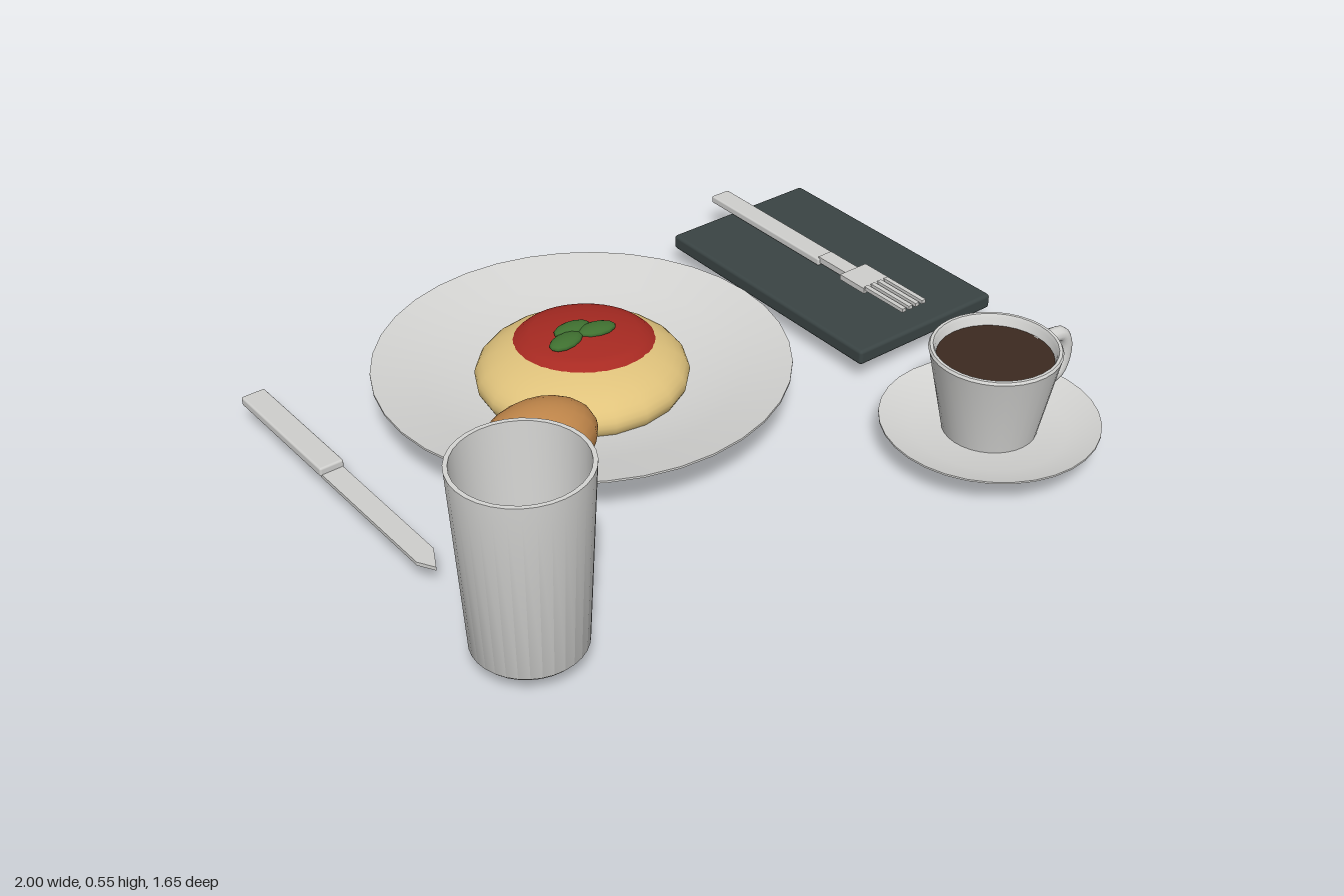
import * as THREE from 'three';
import { toCreasedNormals } from 'three/addons/utils/BufferGeometryUtils.js';
import { RoundedBoxGeometry } from 'three/addons/geometries/RoundedBoxGeometry.js';

const material = (name, color) => {
  const m = new THREE.MeshStandardMaterial({ color });
  m.name = name;
  return m;
};

export function createModel() {
  const ceramic = material('ceramic', 0xd4d4d2);
  const metal = material('metal', 0xcfcfcd);
  const pastaYellow = material('pastaYellow', 0xe0c37c);
  const sauceRed = material('sauceRed', 0xa82a22);
  const crust = material('crust', 0xc0864a);
  const leafGreen = material('leafGreen', 0x3f7030);
  const coffeeBrown = material('coffeeBrown', 0x3c2a20);
  const cloth = material('cloth', 0x3a4444);

  const model = new THREE.Group();
  model.name = 'tableSetting';

  const add = (parent, name, geometry, mat, x = 0, y = 0, z = 0) => {
    const mesh = new THREE.Mesh(geometry, mat);
    mesh.name = name;
    mesh.position.set(x, y, z);
    parent.add(mesh);
    return mesh;
  };
  const group = (name, x = 0, z = 0) => {
    const g = new THREE.Group();
    g.name = name;
    g.position.set(x, 0, z);
    model.add(g);
    return g;
  };
  // Closed profile of [radius, height], from the base out, up and back inside
  const turned = (profile, sides = 32) => toCreasedNormals(
    new THREE.LatheGeometry(profile.map(([r, y]) => new THREE.Vector2(r, y)), sides), 0.7);
  const ellipsoid = (rx, ry, rz, w = 20, h = 14) =>
    new THREE.SphereGeometry(1, w, h).scale(rx, ry, rz);

  // Dinner plate with food
  const dinner = group('dinner', -0.135, -0.275);
  add(dinner, 'plate', turned([
    [0, 0.07], [0.28, 0.07], [0.42, 0.103], [0.555, 0.138],
    [0.555, 0.144], [0.42, 0.111], [0.28, 0.078], [0, 0.078],
  ], 36), ceramic);
  const pasta = { r: 0.285, h: 0.103, y: 0.103 };
  add(dinner, 'pasta', ellipsoid(pasta.r, pasta.h, pasta.r, 20, 24), pastaYellow, 0, pasta.y, 0);

  // Sauce is a disc draped over the pasta mound
  const sauce = new THREE.RingGeometry(0, 0.195, 40, 8).rotateX(-Math.PI / 2).translate(0.03, 0, -0.03);
  const p = sauce.attributes.position;
  for (let i = 0; i < p.count; i++) {
    const r = Math.hypot(p.getX(i), p.getZ(i));
    const rim = Math.hypot(p.getX(i) - 0.03, p.getZ(i) + 0.03) > 0.19;
    p.setY(i, pasta.y + pasta.h * Math.sqrt(1 - (r / pasta.r) ** 2) + (rim ? -0.004 : 0.009));
  }
  sauce.computeVertexNormals();
  add(dinner, 'sauce', sauce, sauceRed);

  // Basil sprig
  for (const [x, z, turn] of [[-0.052, 0.004, 0.2], [0.046, 0.004, -0.2], [-0.005, -0.035, 0]]) {
    const leaf = add(dinner, 'basilLeaf', ellipsoid(0.055, 0.014, 0.032, 12, 8), leafGreen, x, 0.217, z);
    leaf.rotation.y = turn;
  }
  add(dinner, 'breadRoll', ellipsoid(0.163, 0.098, 0.118, 18, 14), crust, -0.313, 0.153, 0.25);

  // Drinking glass
  const glass = group('glass', -0.835, 0.49);
  add(glass, 'tumbler', turned([
    [0, 0.055], [0.128, 0.055], [0.138, 0.066], [0.165, 0.55],
    [0.154, 0.55], [0.13, 0.075], [0, 0.075],
  ]), ceramic);

  // Coffee cup and saucer
  const coffee = group('coffee', 0.567, 0.535);
  add(coffee, 'saucer', turned([
    [0, 0.055], [0.205, 0.055], [0.285, 0.088],
    [0.285, 0.093], [0.2, 0.066], [0, 0.066],
  ]), ceramic);
  add(coffee, 'cup', turned([
    [0, 0.062], [0.122, 0.062], [0.168, 0.294], [0.17, 0.3], [0.166, 0.307],
    [0.158, 0.307], [0.153, 0.298], [0.115, 0.08], [0, 0.08],
  ]), ceramic);
  add(coffee, 'coffeeSurface', new THREE.CircleGeometry(0.151, 32).rotateX(-Math.PI / 2), coffeeBrown, 0, 0.277, 0);
  const handlePath = new THREE.CatmullRomCurve3([
    [0.145, 0.257], [0.2, 0.258], [0.242, 0.25], [0.259, 0.222],
    [0.257, 0.17], [0.238, 0.138], [0.2, 0.13], [0.125, 0.13],
  ].map(([x, y]) => new THREE.Vector3(x, y, 0)));
  add(coffee, 'cupHandle', new THREE.TubeGeometry(handlePath, 32, 0.021, 10), ceramic);

  // Knife
  const knife = group('knife', -0.86);
  add(knife, 'knifeHandle', new RoundedBoxGeometry(0.068, 0.026, 0.41, 2, 0.006), metal, 0, 0.074, -0.54);
  const bladeShape = new THREE.Shape([
    [-0.03, -0.34], [0.03, -0.34], [0.03, 0.085], [-0.004, 0.15], [-0.03, 0.105],
  ].map(([x, z]) => new THREE.Vector2(x, z)));
  const blade = new THREE.ExtrudeGeometry(bladeShape, { depth: 0.01, bevelEnabled: false }).rotateX(Math.PI / 2);
  add(knife, 'knifeBlade', blade, metal, 0, 0.068, 0);

  // Folded napkin
  add(model, 'napkin', new RoundedBoxGeometry(0.49, 0.044, 0.815, 2, 0.01), cloth, 0.75, 0.079, -0.293);

  // Fork resting on the napkin
  const fork = group('fork', 0.747);
  add(fork, 'forkHandle', new RoundedBoxGeometry(0.062, 0.022, 0.485, 2, 0.005), metal, 0, 0.113, -0.543);
  add(fork, 'forkNeck', new THREE.BoxGeometry(0.048, 0.018, 0.125), metal, 0, 0.119, -0.245);
  add(fork, 'forkHead', new THREE.BoxGeometry(0.097, 0.016, 0.1), metal, 0, 0.125, -0.138);
  for (let i = 0; i < 4; i++) {
    add(fork, 'forkTine', new THREE.BoxGeometry(0.014, 0.011, 0.155), metal, (i - 1.5) * 0.0245, 0.131, -0.015);
  }

  return model;
}
